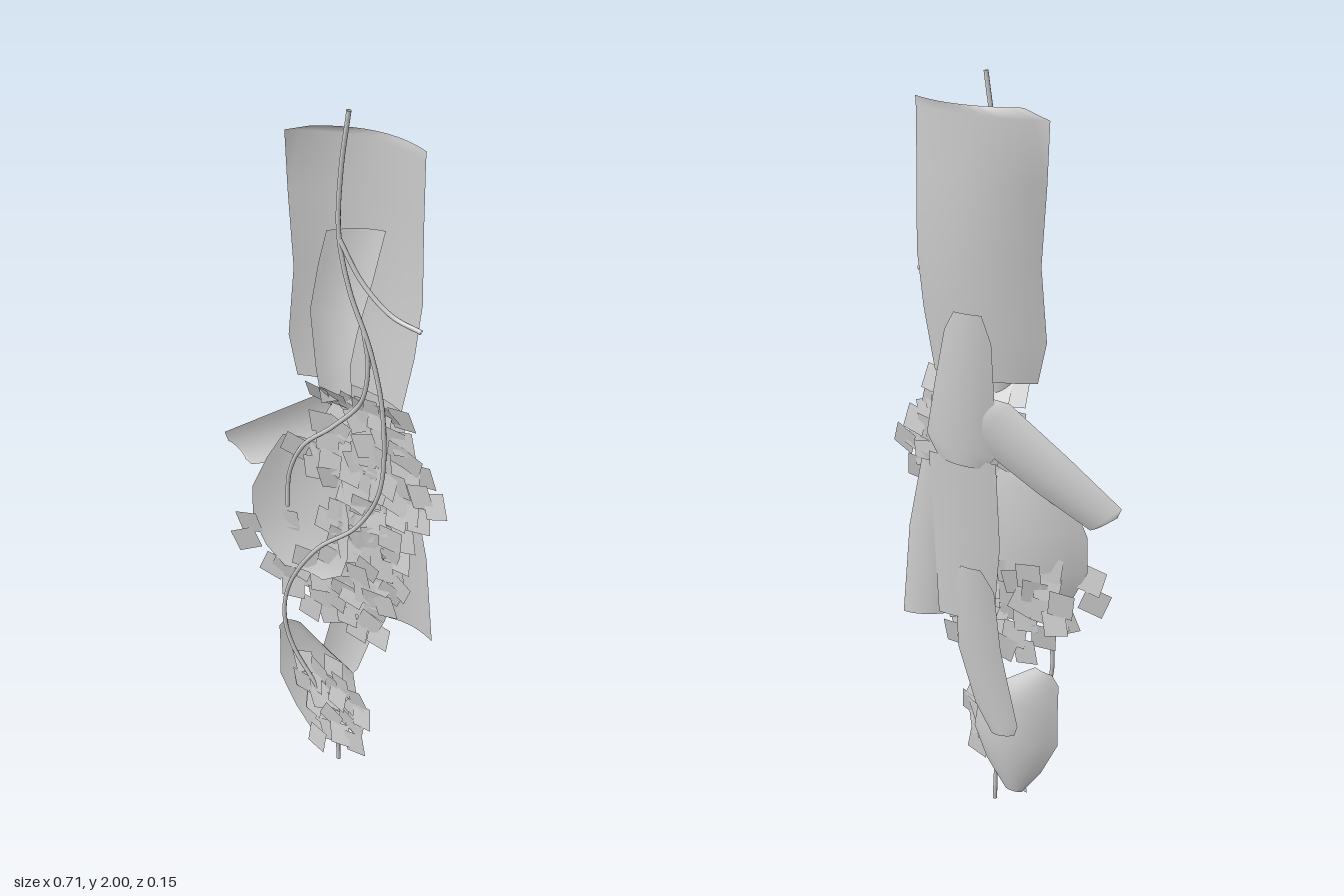
import * as THREE from 'three';

const grey = new THREE.MeshStandardMaterial({ color: 0xcccccc, side: THREE.DoubleSide });
grey.name = 'light grey';

// Small seeded random generator
let seed = 7;
const rand = () => {
  seed = (seed * 16807) % 2147483647;
  return seed / 2147483647;
};

// Curved sheet. Each row: [xLeft, yLeft, xRight, yRight, zMiddle, rise of the edges toward +z]
function sheet(name, rows, cols = 10) {
  const pos = [], index = [];
  rows.forEach(([x0, y0, x1, y1, z, rise], r) => {
    for (let c = 0; c <= cols; c++) {
      const t = c / cols, k = 2 * t - 1;
      pos.push(x0 + (x1 - x0) * t, y0 + (y1 - y0) * t, z + rise * k * k);
      if (r > 0 && c > 0) {
        const d = r * (cols + 1) + c, b = d - cols - 1;
        index.push(b - 1, d - 1, b, b, d - 1, d);
      }
    }
  });
  const geo = new THREE.BufferGeometry();
  geo.setAttribute('position', new THREE.Float32BufferAttribute(pos, 3));
  geo.setIndex(index);
  geo.computeVertexNormals();
  const mesh = new THREE.Mesh(geo, grey);
  mesh.name = name;
  return mesh;
}

// Thin wire through a few front-plane points
function wire(name, points) {
  const curve = new THREE.CatmullRomCurve3(points.map(([x, y]) => new THREE.Vector3(x, y, 0.015)));
  const mesh = new THREE.Mesh(new THREE.TubeGeometry(curve, points.length * 8, 0.006, 8), grey);
  mesh.name = name;
  return mesh;
}

// Square flake lying roughly along a shallow bowl
const flakeGeo = new THREE.PlaneGeometry(0.068, 0.068);
function flake(x, y, z, slope, pitch = 0) {
  const mesh = new THREE.Mesh(flakeGeo, grey);
  mesh.name = 'flake';
  mesh.position.set(x, y, z);
  mesh.rotation.set(pitch + (rand() - 0.5) * 0.4, -Math.atan(slope) + (rand() - 0.5) * 0.3, (rand() - 0.5) * 0.9);
  return mesh;
}

// Even spiral scatter of flakes inside an ellipse
function flakes(name, cx, cy, rx, ry, count, depth, slope) {
  const group = new THREE.Group();
  group.name = name;
  for (let i = 0; i < count; i++) {
    const r = Math.sqrt((i + 0.5) / count), a = i * 2.4;
    const x = cx + rx * r * Math.cos(a) + (rand() - 0.5) * 0.02;
    const y = cy + ry * r * Math.sin(a) + (rand() - 0.5) * 0.02;
    group.add(flake(x, y, depth(x) + (rand() - 0.5) * 0.016, slope(x)));
  }
  return group;
}

export function createModel() {
  const model = new THREE.Group();

  // Large upper sheet and the small one in front of it
  model.add(sheet('upperPanel', [
    [-0.06, 1.925, 0.24, 1.932, -0.062, 0.045],
    [-0.13, 1.90, 0.24, 1.91, -0.063, 0.048],
    [-0.125, 1.75, 0.24, 1.75, -0.069, 0.052],
    [-0.11, 1.55, 0.245, 1.55, -0.067, 0.052],
    [-0.125, 1.36, 0.23, 1.40, -0.056, 0.045],
    [-0.10, 1.25, 0.20, 1.24, -0.045, 0.035],
  ]));
  model.add(sheet('upperLeaf', [
    [-0.02, 1.67, 0.14, 1.71, -0.035, 0.015],
    [-0.04, 1.58, 0.11, 1.57, -0.035, 0.02],
    [-0.06, 1.45, 0.075, 1.43, -0.028, 0.02],
    [-0.04, 1.30, 0.06, 1.33, -0.02, 0.02],
    [-0.02, 1.20, 0.07, 1.22, -0.015, 0.02],
  ]));

  // Strips on the back
  model.add(sheet('backStrip', [
    [0.03, 1.42, 0.11, 1.42, -0.068, 0.004],
    [0.005, 1.35, 0.14, 1.37, -0.071, 0.012],
    [0.00, 1.20, 0.175, 1.22, -0.071, 0.018],
    [0.00, 1.05, 0.205, 1.08, -0.068, 0.022],
    [0.03, 1.01, 0.17, 1.02, -0.064, 0.018],
  ]));
  model.add(sheet('armStrip', [
    [0.02, 1.205, 0.05, 1.10, -0.060, 0.012],
    [-0.04, 1.20, 0.05, 1.07, -0.064, 0.016],
    [-0.20, 1.085, -0.12, 0.97, -0.056, 0.018],
    [-0.35, 0.975, -0.265, 0.90, -0.046, 0.012],
    [-0.34, 0.95, -0.285, 0.91, -0.043, 0.008],
  ]));
  model.add(sheet('skirtInnerPanel', [
    [0.00, 1.03, 0.20, 1.03, -0.056, 0.01],
    [-0.01, 0.80, 0.19, 0.80, -0.055, 0.012],
    [0.01, 0.58, 0.18, 0.57, -0.05, 0.01],
  ]));
  model.add(sheet('skirtOuterPanel', [
    [0.12, 1.01, 0.23, 1.00, -0.044, 0.01],
    [0.14, 0.80, 0.275, 0.80, -0.044, 0.014],
    [0.17, 0.56, 0.303, 0.535, -0.04, 0.014],
  ]));
  model.add(sheet('tailStrip', [
    [0.04, 0.73, 0.10, 0.73, -0.062, 0.004],
    [0.005, 0.67, 0.125, 0.68, -0.062, 0.014],
    [-0.01, 0.50, 0.12, 0.48, -0.054, 0.014],
    [-0.06, 0.28, 0.07, 0.32, -0.048, 0.012],
    [-0.05, 0.25, 0.02, 0.24, -0.046, 0.01],
  ]));

  // Rounded leaf at the side and bowl at the foot
  model.add(sheet('sideLeaf', [
    [-0.15, 1.05, -0.05, 1.06, -0.022, 0.008],
    [-0.20, 0.96, 0.03, 0.98, -0.034, 0.025],
    [-0.24, 0.86, 0.06, 0.86, -0.038, 0.04],
    [-0.24, 0.76, 0.06, 0.74, -0.034, 0.04],
    [-0.20, 0.68, 0.04, 0.67, -0.02, 0.025],
    [-0.14, 0.63, -0.02, 0.63, -0.006, 0.01],
  ]));
  model.add(sheet('footBowl', [
    [-0.14, 0.44, -0.09, 0.45, 0.002, 0.004],
    [-0.16, 0.41, 0.00, 0.39, -0.014, 0.022],
    [-0.16, 0.33, 0.08, 0.34, -0.03, 0.035],
    [-0.16, 0.23, 0.10, 0.22, -0.032, 0.04],
    [-0.11, 0.13, 0.06, 0.13, -0.024, 0.03],
    [-0.05, 0.05, 0.00, 0.05, 0.0, 0.006],
  ]));

  // Flake clusters
  const bowl = (x) => -0.016 + 0.4 * x * x, bowlSlope = (x) => 0.8 * x;
  model.add(flakes('upperFlakes', 0.12, 1.05, 0.165, 0.165, 44, bowl, bowlSlope));
  model.add(flakes('middleFlakes', 0.11, 0.77, 0.125, 0.19, 32, bowl, bowlSlope));
  model.add(flakes('lowerFlakes', 0.0, 0.60, 0.17, 0.10, 20, bowl, bowlSlope));
  model.add(flakes('sideFlakes', -0.13, 0.69, 0.08, 0.08, 9, () => -0.035, bowlSlope));
  model.add(flakes('footFlakes', 0.03, 0.225, 0.115, 0.125, 20, (x) => 0.025 + 0.27 * x, () => 0.27));

  // Loose flakes around the rim
  const looseFlakes = new THREE.Group();
  looseFlakes.name = 'looseFlakes';
  for (const [x, y] of [[0.32, 1.02], [0.27, 0.95], [-0.26, 0.68], [-0.25, 0.74], [-0.18, 0.61],
    [-0.07, 0.50], [0.08, 0.49], [0.15, 0.50], [-0.11, 1.03], [-0.05, 0.98]])
    looseFlakes.add(flake(x, y, bowl(x), bowlSlope(x)));
  for (const [x, y, z] of [[-0.02, 0.07, 0.035], [0.14, 0.25, 0.06], [-0.08, 0.31, 0.005]])
    looseFlakes.add(flake(x, y, z, 0.2));
  // Top row leaning forward
  for (let i = 0; i < 6; i++) looseFlakes.add(flake(-0.04 + i * 0.048, 1.215, -0.012, 0, 0.45));
  model.add(looseFlakes);

  // Wires
  model.add(wire('mainWire', [[0.06, 2], [0.04, 1.85], [0.035, 1.69], [0.065, 1.55], [0.125, 1.4], [0.163, 1.22],
    [0.157, 1.0], [0.09, 0.86], [-0.03, 0.74], [-0.12, 0.58], [-0.137, 0.46], [-0.11, 0.36], [-0.03, 0.24],
    [0.03, 0.12], [0.04, 0]]));
  model.add(wire('sideWire', [[0.035, 1.68], [0.1, 1.58], [0.18, 1.515], [0.26, 1.495]]));
  model.add(wire('branchWire', [[0.105, 1.45], [0.118, 1.36], [0.10, 1.25], [0.02, 1.15], [-0.07, 1.06],
    [-0.113, 0.96], [-0.12, 0.85]]));
  return model;
}
